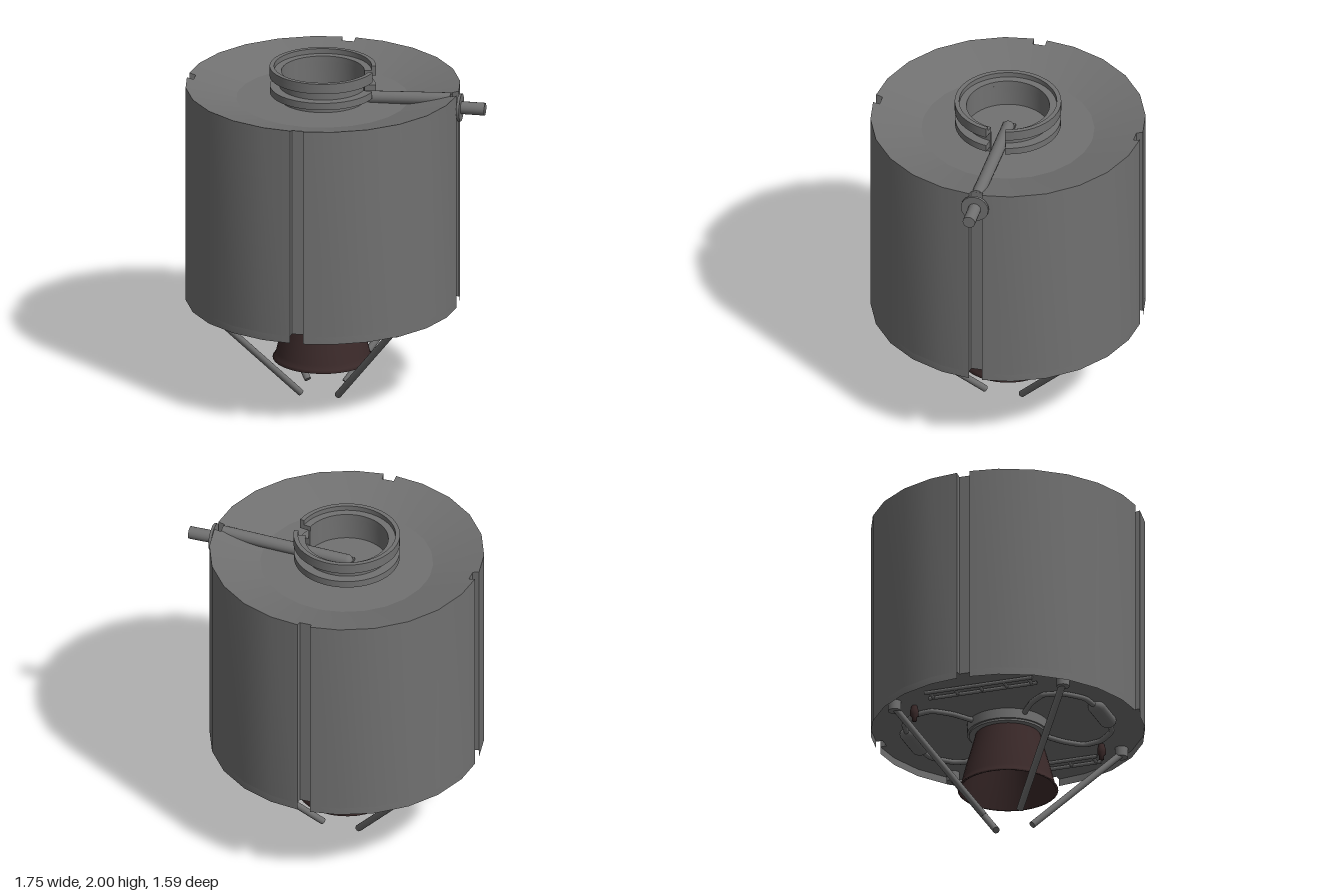
import * as THREE from 'three';
import { toCreasedNormals } from 'three/addons/utils/BufferGeometryUtils.js';

const hull = new THREE.MeshStandardMaterial({ color: 0x717171, side: THREE.DoubleSide });
hull.name = 'hull grey';
const brown = new THREE.MeshStandardMaterial({ color: 0x3a2929, side: THREE.DoubleSide });
brown.name = 'nozzle brown';

// Skin between closed loops that share the same number of points
function loft(loops, keep = () => true) {
  const pos = [], idx = [], n = loops[0].length;
  loops.forEach(l => l.forEach(p => pos.push(...p)));
  for (let k = 0; k + 1 < loops.length; k++) {
    for (let i = 0; i < n; i++) {
      const a = k * n + i, b = k * n + (i + 1) % n;
      if (keep(i)) idx.push(a, a + n, b + n, a, b + n, b);
    }
  }
  const g = new THREE.BufferGeometry();
  g.setAttribute('position', new THREE.Float32BufferAttribute(pos, 3));
  g.setIndex(idx);
  return toCreasedNormals(g, 0.5);
}

export function createModel() {
  const model = new THREE.Group();
  const craft = new THREE.Group();
  craft.name = 'stage';
  craft.position.x = -0.08;
  model.add(craft);

  const add = (name, geometry, material = hull, x = 0, y = 0, z = 0) => {
    const mesh = new THREE.Mesh(geometry, material);
    mesh.name = name;
    mesh.position.set(x, y, z);
    craft.add(mesh);
    return mesh;
  };
  const rod = (name, a, b, r) => {
    const p = new THREE.Vector3(...a), q = new THREE.Vector3(...b);
    const m = add(name, new THREE.CylinderGeometry(r, r, p.distanceTo(q), r > 0.1 ? 40 : 16));
    m.position.copy(p).add(q).multiplyScalar(0.5);
    m.quaternion.setFromUnitVectors(new THREE.Vector3(0, 1, 0), q.sub(p).normalize());
  };

  // Drum outline: 24 sides with a slot on each axis, nine points per quarter
  const outline = [];
  for (let q = 0; q < 4; q++) {
    const c = Math.round(Math.cos(q * Math.PI / 2)), s = Math.round(Math.sin(q * Math.PI / 2));
    const pts = [[0.793, -0.038], [0.755, -0.0355], [0.755, 0.0355], [0.793, 0.038]];
    for (let i = 1; i < 6; i++) {
      const a = i * Math.PI / 12;
      pts.push([0.795 * Math.cos(a), 0.795 * Math.sin(a)]);
    }
    pts.forEach(([x, z]) => outline.push([x * c - z * s, x * s + z * c]));
  }
  const plateY = 0.62;
  const level = y => outline.map(([x, z]) => [x, y, z]);
  // The rim follows the cone of the sunken top, so it dips inside the slots
  const rim = outline.map(([x, z]) => [x, 1.805 + 0.081 * (Math.hypot(x, z) - 0.5) / 0.295, z]);
  const circle = (r, y) => outline.map(([x, z]) => {
    const d = Math.hypot(x, z);
    return [x / d * r, y, z / d * r];
  });

  // Drum wall, skirt cut through at the slots, sunken top and recessed base plate
  add('drumWall', loft([level(plateY), rim]));
  add('skirt', loft([level(0.576), level(plateY)], i => i % 9 > 2));
  add('slopedTop', loft([rim, circle(0.5, 1.805)]));
  const floor = new THREE.CircleGeometry(0.501, 48);
  floor.rotateX(-Math.PI / 2);
  add('topFloor', floor, hull, 0, 1.805);
  add('basePlate', loft([circle(0.001, plateY), level(plateY)]));

  // Docking collar: split rings
  const splitRing = (name, outer, inner, y, h, gap) => {
    const s = new THREE.Shape();
    s.absarc(0, 0, outer, gap, Math.PI * 2 - gap, false);
    s.absarc(0, 0, inner, Math.PI * 2 - gap, gap, true);
    s.closePath();
    const e = new THREE.ExtrudeGeometry(s, { depth: h, bevelEnabled: false, curveSegments: 40 });
    e.rotateX(-Math.PI / 2);
    add(name, toCreasedNormals(e, 0.5), hull, 0, y);
  };
  splitRing('collarNeck', 0.252, 0.24, 1.80, 0.14, 0.17);
  splitRing('collarLowerFlange', 0.306, 0.245, 1.84, 0.042, 0.185);
  splitRing('collarFlange', 0.308, 0.24, 1.94, 0.03, 0.185);
  splitRing('collarRim', 0.308, 0.282, 1.97, 0.03, 0.185);

  // Feed pipe across the top and outlet through the side
  rod('feedPipe', [0, 1.815, 0], [0.755, 1.85, 0], 0.037);
  add('feedPipeElbow', new THREE.SphereGeometry(0.037, 16, 12), hull, 0, 1.815);
  add('feedPipeFoot', new THREE.BoxGeometry(0.076, 0.03, 0.076), hull, 0, 1.805);
  rod('outletPipe', [0.74, 1.8, 0], [0.955, 1.8, 0], 0.037);
  rod('outletFlange', [0.8, 1.8, 0], [0.816, 1.8, 0], 0.082);

  // Engine
  rod('engineMount', [0, 0.56, 0], [0, plateY, 0], 0.237);
  rod('engineRing', [0, 0.548, 0], [0, 0.565, 0], 0.225);
  const bell = [[0.188, 0.555], [0.216, 0.45], [0.245, 0.35], [0.27, 0.25], [0.277, 0.222], [0.291, 0.207], [0.275, 0.207], [0.18, 0.547]];
  add('engineNozzle', new THREE.LatheGeometry(bell.map(p => new THREE.Vector2(...p)), 36), brown);

  // Four diagonal struts with their mounts
  for (const sx of [-1, 1]) for (const sz of [-1, 1]) {
    rod('strut', [sx * 0.515, 0.585, sz * 0.515], [sx * 0.11, 0.017, sz * 0.11], 0.02);
    rod('strutMount', [sx * 0.515, 0.562, sz * 0.515], [sx * 0.515, plateY, sz * 0.515], 0.038);
  }

  // Small thrusters
  for (const s of [-1, 1]) {
    const t = [[0, 0.525], [0.014, 0.525], [0.014, 0.548], [0.025, 0.56], [0.025, 0.59], [0.016, plateY]];
    add('thruster', new THREE.LatheGeometry(t.map(p => new THREE.Vector2(...p)), 14), brown, s * 0.425, 0, s * 0.425);
  }

  // Underside tanks with looping lines, and ladder frames
  for (const s of [-1, 1]) {
    const tank = add('undersideTank', new THREE.CapsuleGeometry(0.05, 0.2, 6, 16), hull, 0, 0.605, s * 0.575);
    tank.rotation.z = Math.PI / 2;
    tank.scale.x = 0.8;
    for (const side of [-1, 1]) {
      const path = [[0.12, 0.575], [0.24, 0.55], [0.34, 0.45], [0.36, 0.34], [0.28, 0.24], [0.14, 0.14]]
        .map(([x, z]) => new THREE.Vector3(side * x, 0.603, s * z));
      const curve = new THREE.CatmullRomCurve3(path, false, 'catmullrom', 0.25);
      add('fuelLine', new THREE.TubeGeometry(curve, 40, 0.016, 8));
    }
    for (const x of [0.53, 0.61]) rod('ladderRail', [s * x, 0.602, -0.3], [s * x, 0.602, 0.36], 0.011);
    for (let i = 0; i < 5; i++) {
      const z = -0.27 + i * 0.15;
      rod('ladderRung', [s * 0.53, 0.602, z], [s * 0.61, 0.602, z], 0.009);
    }
  }
  return model;
}
